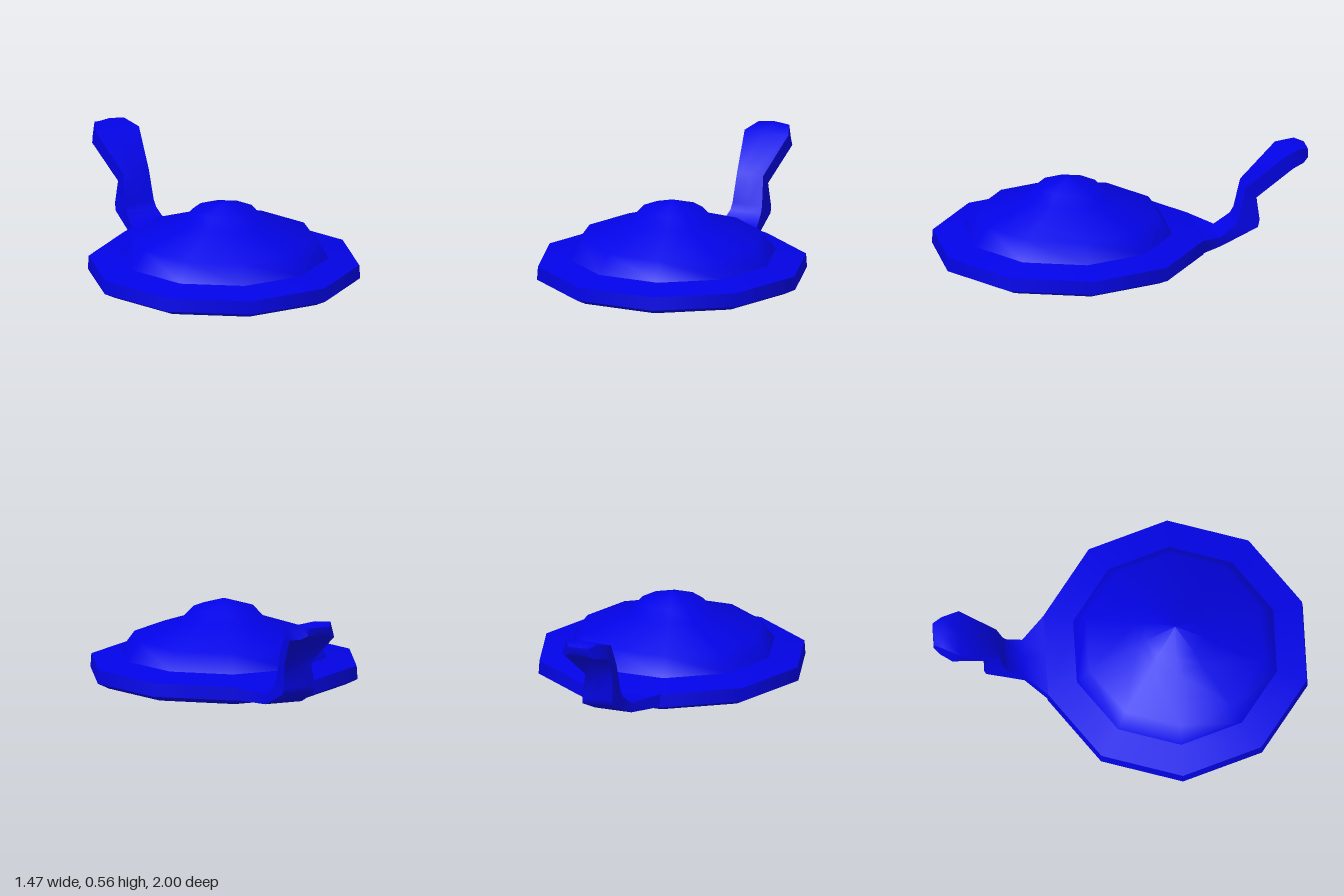
import * as THREE from 'three';
import { toCreasedNormals } from 'three/addons/utils/BufferGeometryUtils.js';

// Skin a list of rings (each an array of [x, y, z]) and cap the far end.
function loft(rings) {
  const n = rings[0].length;
  const index = [];
  for (let i = 0; i < rings.length - 1; i++) {
    for (let j = 0; j < n; j++) {
      const a = i * n + j, b = i * n + (j + 1) % n;
      index.push(a, b, a + n, b, b + n, a + n);
    }
  }
  const last = (rings.length - 1) * n;
  for (let j = 1; j < n - 1; j++) index.push(last, last + j, last + j + 1);
  const geo = new THREE.BufferGeometry();
  geo.setAttribute('position', new THREE.Float32BufferAttribute(rings.flat(2), 3));
  geo.setIndex(index);
  return geo;
}

export function createModel() {
  const group = new THREE.Group();
  const material = new THREE.MeshStandardMaterial({ color: 0x0303e6, side: THREE.DoubleSide });

  function add(name, geometry) {
    const mesh = new THREE.Mesh(geometry, material);
    mesh.name = name;
    group.add(mesh);
    return mesh;
  }

  // Ten-sided lid: each band is smooth, with a sharp edge between bands
  const bands = {
    hollowUnderside: [[0, 0.39], [0.22, 0.3], [0.48, 0.2], [0.67, 0]],
    rimBevel: [[0.67, 0], [0.735, 0.032]],
    rimWall: [[0.735, 0.032], [0.73, 0.105]],
    rimShoulder: [[0.73, 0.105], [0.565, 0.14]],
    dome: [[0.565, 0.14], [0.492, 0.24], [0.225, 0.33], [0.168, 0.392], [0, 0.443]],
  };
  for (const [name, profile] of Object.entries(bands)) {
    const points = profile.map(([r, y]) => new THREE.Vector2(r, y));
    add(name, new THREE.LatheGeometry(points, 10, Math.PI / 10)).position.z = 0.3;
  }

  // Curved handle: top z, top y, bottom z, bottom y, half width, crown height
  const sections = [
    [-0.394, 0.105, -0.394, 0.035, 0.2256, 0],
    [-0.515, 0.077, -0.515, 0.025, 0.106, 0],
    [-0.6, 0.14, -0.72, 0.115, 0.091, 0],
    [-0.62, 0.175, -0.73, 0.155, 0.088, 0],
    [-0.655, 0.335, -0.715, 0.28, 0.078, 0],
    [-0.855, 0.515, -0.905, 0.45, 0.13, 0],
    [-0.95, 0.545, -0.97, 0.465, 0.09, 0.01],
    [-1, 0.53, -1, 0.487, 0.062, 0],
  ];
  const handle = loft(sections.map(([tz, ty, bz, by, w, crown]) => [
    [w, ty, tz], [0, ty + crown, tz], [-w, ty, tz],
    [-w, by, bz], [0, by, bz], [w, by, bz],
  ]));
  add('handle', toCreasedNormals(handle, 1));

  return group;
}
